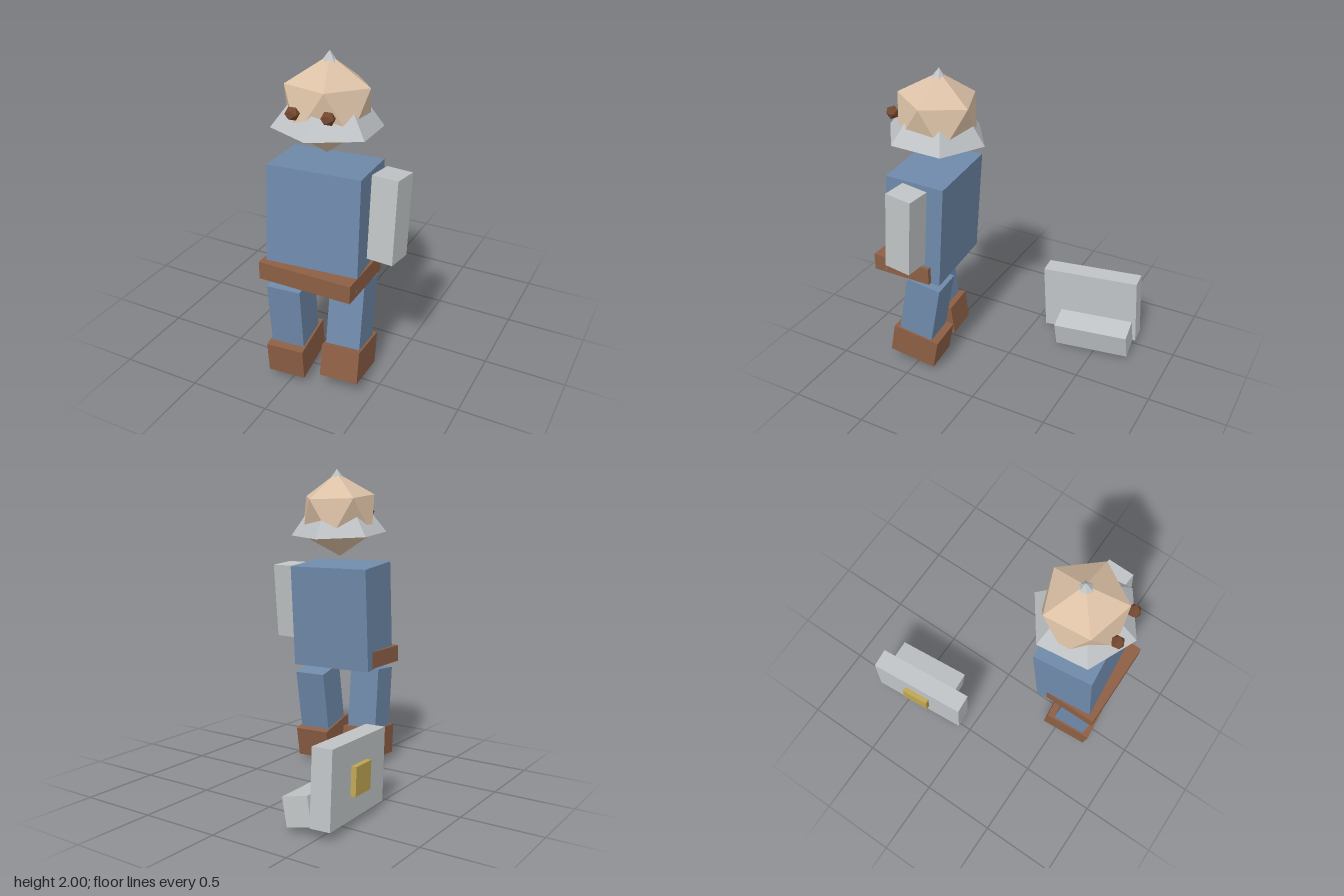
import * as THREE from 'three';

const mat = (name, color) => {
  const m = new THREE.MeshStandardMaterial({ color, flatShading: true });
  m.name = name;
  return m;
};

export function createModel() {
  const blue = mat('blueCloth', 0x6f8aab);
  const grey = mat('paleGrey', 0xc0c4c6);
  const skin = mat('skin', 0xdcc1a6);
  const brown = mat('leather', 0x8d5f45);
  const eyeBrown = mat('eyeBrown', 0x74482f);
  const gold = mat('gold', 0xc0a654);

  const model = new THREE.Group();
  model.name = 'tumblingFigure';

  // Adds a mesh; rotation is [pitch, yaw, roll], yaw applied outermost
  const add = (name, geometry, material, position, [pitch = 0, yaw = 0, roll = 0] = []) => {
    const mesh = new THREE.Mesh(geometry, material);
    mesh.name = name;
    mesh.position.set(...position);
    mesh.rotation.set(pitch, yaw, roll, 'YXZ');
    model.add(mesh);
    return mesh;
  };
  const box = (name, size, material, position, rotation) =>
    add(name, new THREE.BoxGeometry(...size), material, position, rotation);

  const YAW = 0.09;

  // Body and belt
  box('torso', [0.555, 0.675, 0.375], blue, [0.122, 1.04, 0.471], [-0.078, YAW]);
  box('belt', [0.58, 0.11, 0.4], brown, [0.127, 0.755, 0.543]);

  // Legs and boots, mid-stride
  box('leftLeg', [0.21, 0.45, 0.23], blue, [0.288, 0.435, 0.457], [-0.19, YAW]);
  box('leftBoot', [0.235, 0.2, 0.317], brown, [0.293, 0.161, 0.502], [-0.19, YAW]);
  box('rightLeg', [0.205, 0.45, 0.22], blue, [-0.03, 0.44, 0.594], [0.1, YAW]);
  box('rightBoot', [0.23, 0.2, 0.317], brown, [-0.033, 0.162, 0.568], [0.1, YAW]);

  // Attached arm
  box('leftArm', [0.16, 0.5, 0.175], grey, [0.502, 1.117, 0.425], [-0.088, -0.07]);

  // Detached shield, its boss, and the loose arm lying beside it
  box('shield', [0.125, 0.452, 0.652], grey, [-0.492, 0.265, -0.395], [0.054, YAW]);
  box('shieldBoss', [0.04, 0.17, 0.185], gold, [-0.567, 0.265, -0.395], [0.054, YAW]);
  box('looseArm', [0.16, 0.172, 0.5], grey, [-0.34, 0.113, -0.475], [0.05, 0.1, -0.2]);

  // Head: icosahedron standing on a corner
  const headGeometry = new THREE.IcosahedronGeometry(0.272, 0);
  headGeometry.rotateX(-Math.atan2((1 + Math.sqrt(5)) / 2, 1));
  headGeometry.rotateY(0.37 - YAW);
  add('head', headGeometry, skin, [0.119, 1.702, 0.414], [-0.088, YAW]);

  // Six-sided pointed hat, with the head bulging through it
  add('hat', new THREE.ConeGeometry(0.315, 0.422, 6), grey, [0.119, 1.789, 0.408], [-0.08, YAW]);

  // Eyes
  for (const [name, x, z] of [['rightEye', 0.041, 0.667], ['leftEye', 0.242, 0.648]]) {
    add(name, new THREE.IcosahedronGeometry(0.041, 0), eyeBrown, [x, 1.722, z], [-0.08, YAW]);
  }

  return model;
}
